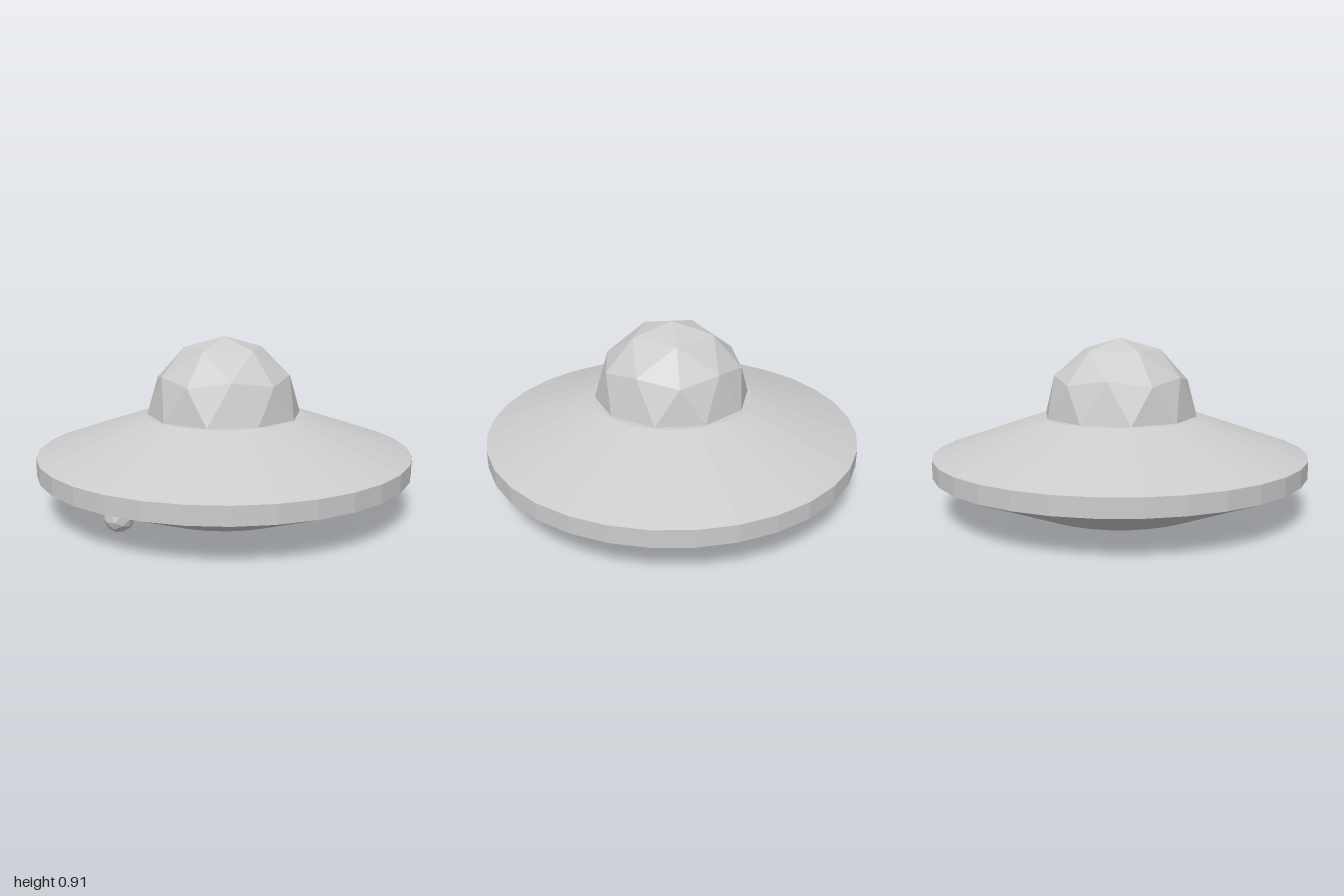
import * as THREE from 'three';

const hullGrey = new THREE.MeshStandardMaterial({ color: 0xcccccc });
hullGrey.name = 'hullGrey';

// Upper half of a once-subdivided icosahedron, one vertex at the pole, flat facets
function halfIcosphere(radius) {
  const ball = new THREE.IcosahedronGeometry(radius, 1);
  ball.rotateZ(-Math.atan(2 / (1 + Math.sqrt(5))));
  const p = ball.attributes.position;
  const kept = [];
  for (let i = 0; i < p.count; i += 3) {
    if (p.getY(i) + p.getY(i + 1) + p.getY(i + 2) < 0) continue;
    for (let k = i; k < i + 3; k++) kept.push(p.getX(k), p.getY(k), p.getZ(k));
  }
  const geometry = new THREE.BufferGeometry();
  geometry.setAttribute('position', new THREE.Float32BufferAttribute(kept, 3));
  geometry.computeVertexNormals();
  return geometry;
}

function part(name, geometry) {
  const mesh = new THREE.Mesh(geometry, hullGrey);
  mesh.name = name;
  return mesh;
}

export function createModel() {
  const model = new THREE.Group();
  model.name = 'flyingSaucer';

  // Saucer body: recessed belly, sloped underside, rim, sloped top
  const profile = [
    [0, 0.137], [0.152, 0.137], [0.485, 0], [1, 0.21], [1, 0.303], [0.43, 0.5], [0, 0.5],
  ].map(([r, y]) => new THREE.Vector2(r, y));
  const body = new THREE.LatheGeometry(profile, 32).toNonIndexed();
  body.computeVertexNormals();
  model.add(part('saucerBody', body));

  // Faceted cockpit dome
  const dome = part('cockpitDome', halfIcosphere(0.415));
  dome.position.y = 0.499;
  model.add(dome);

  // Small pod on the underside, standing square to the sloped hull
  const pod = part('undersidePod', halfIcosphere(0.076));
  const slope = Math.atan2(0.21, 0.515);
  const around = new THREE.Vector3(-0.715, 0, 0.4).normalize();
  const outward = around.clone().multiplyScalar(Math.sin(slope));
  outward.y = -Math.cos(slope);
  pod.position.set(-0.715, 0.14, 0.4);
  pod.quaternion.setFromUnitVectors(new THREE.Vector3(0, 1, 0), outward);
  model.add(pod);

  return model;
}
